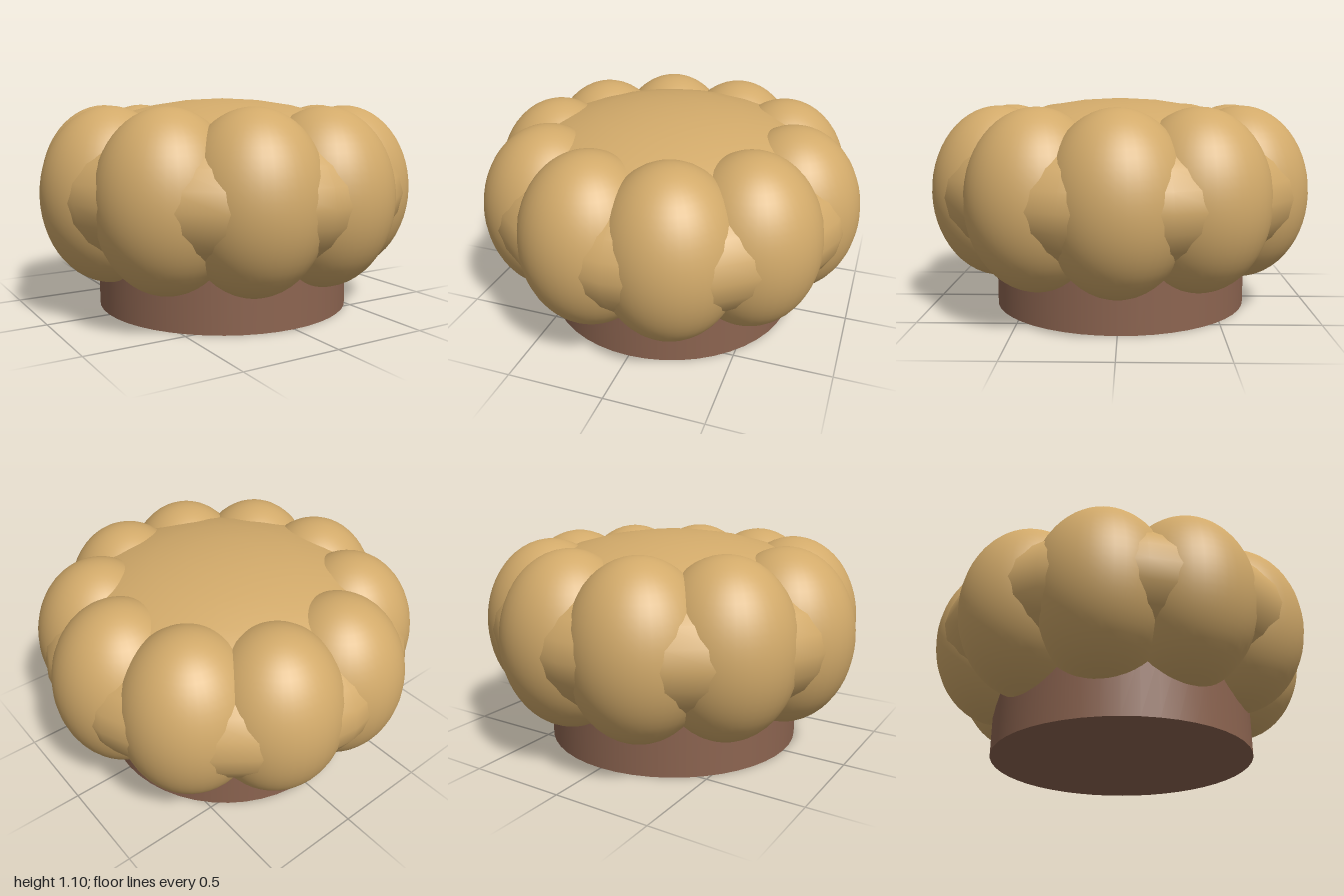
import * as THREE from 'three';

export function createModel() {
  const group = new THREE.Group();
  group.name = 'tuftedPouf';

  const fabric = new THREE.MeshStandardMaterial({ color: 0xd2aa6a });
  fabric.name = 'tan fabric';
  const wood = new THREE.MeshStandardMaterial({ color: 0x8c6450 });
  wood.name = 'brown base';

  const add = (name, geometry, material, x, y, z) => {
    const mesh = new THREE.Mesh(geometry, material);
    mesh.name = name;
    mesh.position.set(x, y, z);
    group.add(mesh);
    return mesh;
  };

  const midY = 0.62;

  // Round plinth
  add('base', new THREE.CylinderGeometry(0.675, 0.675, 0.3, 48), wood, 0, 0.15, 0);

  // Domed cushion in the middle
  const core = add('cushionCore', new THREE.SphereGeometry(1, 24, 16), fabric, 0, midY, 0);
  core.scale.set(0.968, 0.48, 0.968);

  // Ring of ten upright puffs
  const puff = new THREE.SphereGeometry(0.35, 40, 28);
  const count = 10;
  for (let i = 0; i < count; i++) {
    const a = (i / count) * Math.PI * 2;
    const lobe = add('puff' + (i + 1), puff, fabric, 0.65 * Math.cos(a), midY, 0.65 * Math.sin(a));
    lobe.scale.y = 1.265;
  }

  return group;
}
